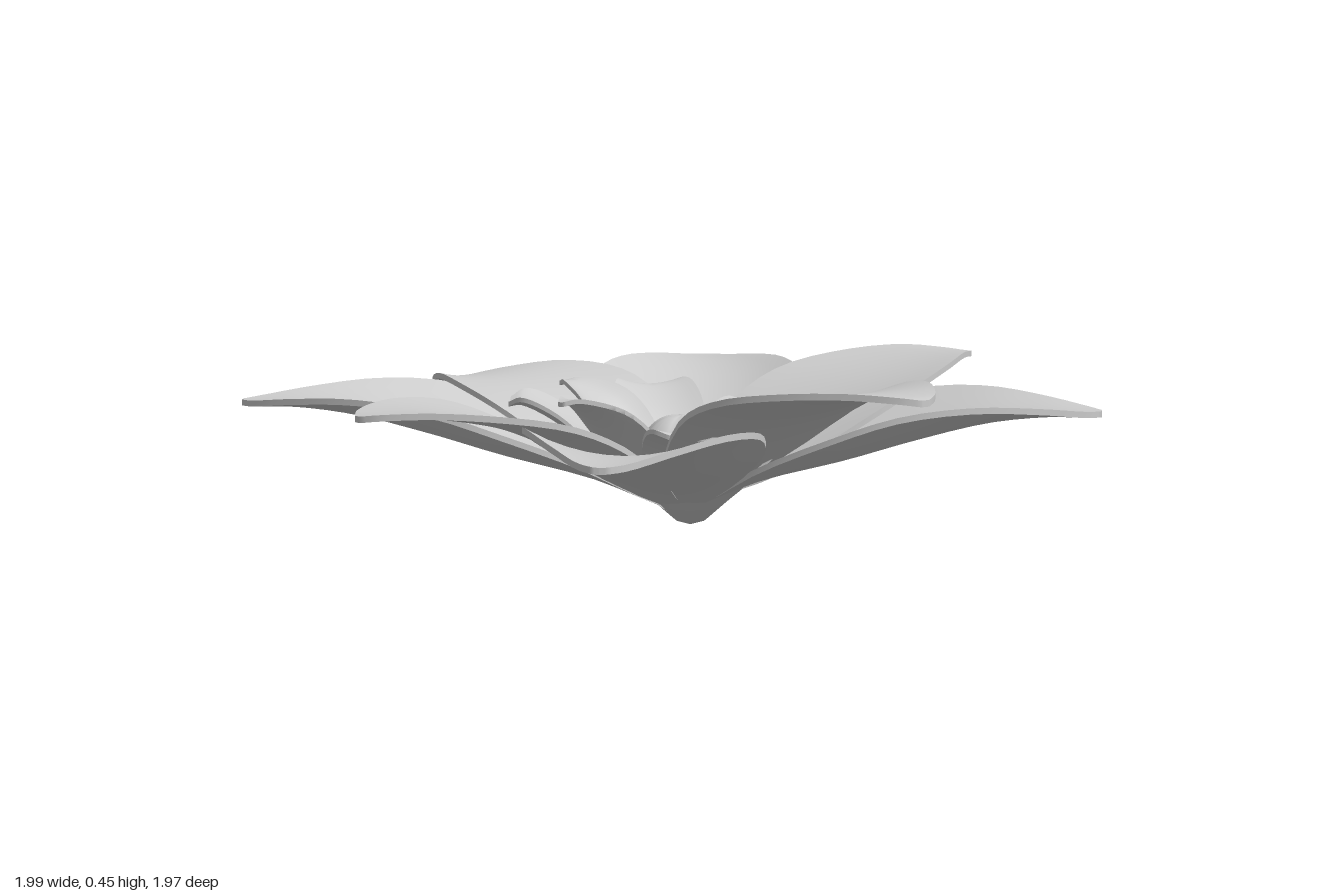
import * as THREE from 'three';
import { toCreasedNormals } from 'three/addons/utils/BufferGeometryUtils.js';

const material = new THREE.MeshStandardMaterial({ color: 0xcccccc, side: THREE.DoubleSide });

// Thin closed petal swept from a centre to its tip; keys are (distance, height, half width)
function petalGeometry(cx, cz, tipX, tipZ, fractions, heights, widths, cup, thick) {
  const dx = tipX - cx, dz = tipZ - cz, len = Math.hypot(dx, dz);
  const ux = dx / len, uz = dz / len;
  const curve = new THREE.CatmullRomCurve3(
    fractions.map((f, i) => new THREE.Vector3(f * len, heights[i], widths[i])));
  const rows = 22, cols = 10, ring = 2 * (cols + 1);
  const maxW = Math.max(...widths), pos = [], idx = [];
  for (let i = 0; i <= rows; i++) {
    const p = curve.getPoint(i / rows);
    for (let j = 0; j < ring; j++) {
      const top = j <= cols;
      const v = (top ? j : ring - 1 - j) / cols * 2 - 1;
      const s = v * p.z;
      const y = p.y + cup * (s / maxW) ** 2 + (top ? thick / 2 : -thick / 2);
      pos.push(cx + ux * p.x - uz * s, y, cz + uz * p.x + ux * s);
    }
  }
  for (let i = 0; i < rows; i++) {
    for (let j = 0; j < ring; j++) {
      const a = i * ring + j, b = i * ring + (j + 1) % ring;
      idx.push(a, b, a + ring, b, b + ring, a + ring);
    }
  }
  // end caps
  for (const [row, flip] of [[0, true], [rows, false]]) {
    for (let j = 0; j < cols; j++) {
      const a = row * ring + j, b = a + 1;
      const d = row * ring + ring - 1 - j, c = d - 1;
      if (flip) idx.push(a, d, b, b, d, c);
      else idx.push(a, b, d, b, c, d);
    }
  }
  const g = new THREE.BufferGeometry();
  g.setAttribute('position', new THREE.Float32BufferAttribute(pos, 3));
  g.setIndex(idx);
  return toCreasedNormals(g, 0.9);
}

export function createModel() {
  const flower = new THREE.Group();
  flower.name = 'flower';
  const add = (parent, name, geometry) => {
    const mesh = new THREE.Mesh(geometry, material);
    mesh.name = name;
    parent.add(mesh);
    return mesh;
  };

  // Large outer petals: tip x, tip z, heights along the spine, edge lift
  const outer = new THREE.Group();
  outer.name = 'outerPetals';
  flower.add(outer);
  const outerF = [0.05, 0.2, 0.4, 0.56, 0.73, 0.87, 0.97, 1];
  const outerW = [0.06, 0.2, 0.285, 0.29, 0.225, 0.135, 0.055, 0.012];
  const diagonal = [0.07, 0.14, 0.2, 0.255, 0.305, 0.325, 0.325, 0.325];
  [
    [0.99, 0.06, [0.08, 0.15, 0.26, 0.33, 0.38, 0.405, 0.4, 0.395], 0.025],
    [-1.0, -0.08, [0.08, 0.15, 0.25, 0.31, 0.35, 0.37, 0.37, 0.365], 0.03],
    [-0.1, 0.98, [0.09, 0.19, 0.32, 0.38, 0.42, 0.44, 0.44, 0.435], 0.03],
    [-0.12, -0.99, [0.08, 0.15, 0.25, 0.3, 0.33, 0.325, 0.305, 0.295], 0.05],
    [0.77, -0.82, diagonal, 0.085],
    [-0.89, -0.81, diagonal, 0.085],
    [-0.89, 0.74, diagonal, 0.085],
    [0.7, 0.83, diagonal, 0.085],
  ].forEach(([x, z, h, cup]) =>
    add(outer, 'outerPetal', petalGeometry(-0.03, 0, x, z, outerF, h, outerW, cup, 0.016)));

  // Small inner petals: tip x, tip z, tip height, half width, pointed or blunt, edge lift
  const inner = new THREE.Group();
  inner.name = 'innerPetals';
  flower.add(inner);
  const innerF = [0.08, 0.28, 0.5, 0.72, 0.92, 1];
  const pointed = [0.25, 0.75, 1, 0.8, 0.3, 0.06];
  const blunt = [0.25, 0.7, 0.95, 1, 0.82, 0.45];
  const rise = [0.06, 0.26, 0.55, 0.84, 1, 0.99];
  [
    [-0.09, -0.45, 0.35, 0.11, pointed, 0.07],
    [-0.46, 0.03, 0.37, 0.125, pointed, 0.05],
    [-0.37, -0.31, 0.33, 0.125, blunt, 0.03],
    [0.2, -0.42, 0.32, 0.12, blunt, 0.03],
    [0.34, -0.1, 0.28, 0.11, blunt, 0.03],
    [0.34, 0.2, 0.29, 0.13, blunt, 0.02],
    [0.03, 0.38, 0.345, 0.13, blunt, 0.02],
    [-0.25, 0.3, 0.29, 0.12, blunt, 0.02],
  ].forEach(([x, z, tipY, w, shape, cup]) =>
    add(inner, 'innerPetal', petalGeometry(-0.01, -0.01, x, z, innerF,
      rise.map(r => 0.02 + r * (tipY - 0.02)), shape.map(s => s * w), cup, 0.012)));

  // Cup under the petals
  const profile = [[0.001, 0], [0.04, 0.012], [0.1, 0.065], [0.16, 0.115]]
    .map(([r, y]) => new THREE.Vector2(r, y));
  add(flower, 'receptacle', new THREE.LatheGeometry(profile, 16));

  // Closed central bud with soft folds meeting at the top
  const bud = new THREE.SphereGeometry(0.12, 40, 24);
  const p = bud.attributes.position, v = new THREE.Vector3();
  for (let i = 0; i < p.count; i++) {
    v.fromBufferAttribute(p, i);
    const polar = Math.acos(THREE.MathUtils.clamp(v.y / 0.12, -1, 1));
    const fold = Math.abs(Math.sin(2.5 * Math.atan2(v.z, v.x)));
    const s = Math.sin(polar);
    v.multiplyScalar(1 - 0.07 * (1 - fold) ** 2 * s - 0.06 * Math.exp(-polar * polar * 12));
    p.setXYZ(i, v.x, v.y, v.z);
  }
  bud.computeVertexNormals();
  add(flower, 'bud', bud).position.set(-0.01, 0.18, -0.025);

  return flower;
}
